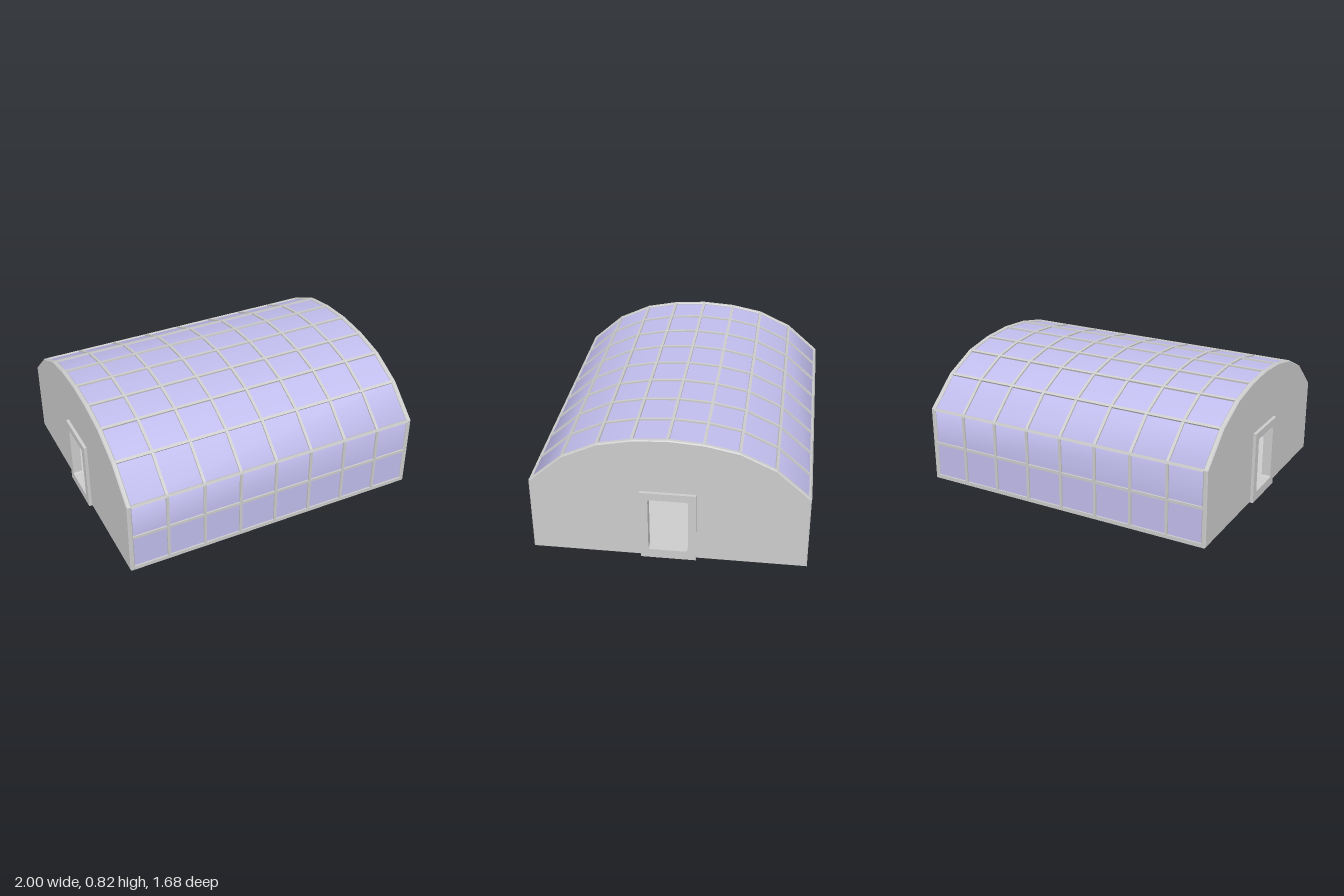
import * as THREE from 'three';
import { toCreasedNormals } from 'three/addons/utils/BufferGeometryUtils.js';

const HALF = 0.98;       // outer face of the end walls
const WALL = 0.03;       // end wall thickness
const BAYS = 8;
const BAY = 0.242;

// Half of the arch as [z, y], mirrored into the full profile
const half = [[0.835, 0], [0.835, 0.25], [0.835, 0.487], [0.628, 0.67], [0.415, 0.77], [0.21, 0.811]];
const profile = [...half, [0, 0.825], ...half.slice().reverse().map(([z, y]) => [-z, y])]
  .map(([z, y]) => new THREE.Vector2(z, y));

// Inward mitre direction at each profile point
const mitres = profile.map((p, i) => {
  const normal = (a, b) => {
    const d = b.clone().sub(a).normalize();
    return new THREE.Vector2(-d.y, d.x);
  };
  const n1 = i > 0 ? normal(profile[i - 1], p) : normal(p, profile[i + 1]);
  const n2 = i < profile.length - 1 ? normal(p, profile[i + 1]) : n1;
  const m = n1.clone().add(n2).normalize();
  return m.divideScalar(m.dot(n1));
});
const inset = d => profile.map((p, i) => p.clone().addScaledVector(mitres[i], d));

export function createModel() {
  const group = new THREE.Group();
  group.name = 'greenhouse';
  const grey = new THREE.MeshStandardMaterial({ color: 0xcccccc });
  const tint = new THREE.MeshStandardMaterial({ color: 0xc0bcec });

  function add(name, geometry, material = grey) {
    const mesh = new THREE.Mesh(geometry, material);
    mesh.name = name;
    group.add(mesh);
    return mesh;
  }

  // Extrude a [z, y] shape along x, centred on x
  function extrudeX(shape, length, bevel = 0) {
    const g = new THREE.ExtrudeGeometry(shape, {
      depth: length - 2 * bevel, bevelEnabled: bevel > 0, bevelThickness: bevel,
      bevelSize: bevel, bevelOffset: -bevel, bevelSegments: 1, curveSegments: 4,
    });
    g.translate(0, 0, bevel - length / 2);
    g.rotateY(-Math.PI / 2);   // shape x becomes z
    return g;
  }

  // Band following the arch between two inset depths
  const band = (d0, d1, length) =>
    extrudeX(new THREE.Shape([...inset(d0), ...inset(d1).reverse()]), length);

  // Rounded door opening
  function opening() {
    const w = 0.12, b = 0.06, t = 0.42, r = 0.012;
    const hole = new THREE.Path();
    hole.moveTo(-w + r, b);
    hole.lineTo(w - r, b);
    hole.quadraticCurveTo(w, b, w, b + r);
    hole.lineTo(w, t - r);
    hole.quadraticCurveTo(w, t, w - r, t);
    hole.lineTo(-w + r, t);
    hole.quadraticCurveTo(-w, t, -w, t - r);
    hole.lineTo(-w, b + r);
    hole.quadraticCurveTo(-w, b, -w + r, b);
    return hole;
  }

  // Glazing, one thin skin set back behind the bars
  add('glazing', toCreasedNormals(band(0.01, 0.018, 2 * (HALF - WALL) + 0.01), 1.0), tint);

  // Arched ribs between the bays
  for (let i = 1; i < BAYS; i++) {
    add('archRib', band(0, 0.026, 0.018)).position.x = (i - BAYS / 2) * BAY;
  }

  // Long bars running along every bend of the arch
  const barCentres = inset(0.012);
  barCentres.forEach((p, i) => {
    const sill = i === 0 || i === barCentres.length - 1;
    const bar = add(sill ? 'sill' : 'longBar',
      new THREE.BoxGeometry(2 * (HALF - WALL) + 0.01, sill ? 0.025 : 0.018, 0.024));
    bar.position.set(0, sill ? 0.0125 : p.y, p.x);
    if (!sill) bar.rotation.x = Math.atan2(mitres[i].y, -mitres[i].x);
  });

  // Floor slab
  add('floor', new THREE.BoxGeometry(2 * HALF - 0.02, 0.02, 1.64)).position.y = 0.01;

  // End walls and raised door surrounds
  for (const side of [-1, 1]) {
    const wall = new THREE.Shape(profile);
    wall.holes.push(opening());
    add('endWall', extrudeX(wall, WALL, 0.006)).position.x = side * (HALF - WALL / 2);

    const surround = new THREE.Shape([[-0.168, 0], [0.168, 0], [0.168, 0.468], [-0.168, 0.468]]
      .map(([z, y]) => new THREE.Vector2(z, y)));
    surround.holes.push(opening());
    add('doorFrame', extrudeX(surround, 0.06)).position.x = side * 0.97;
  }
  return group;
}
